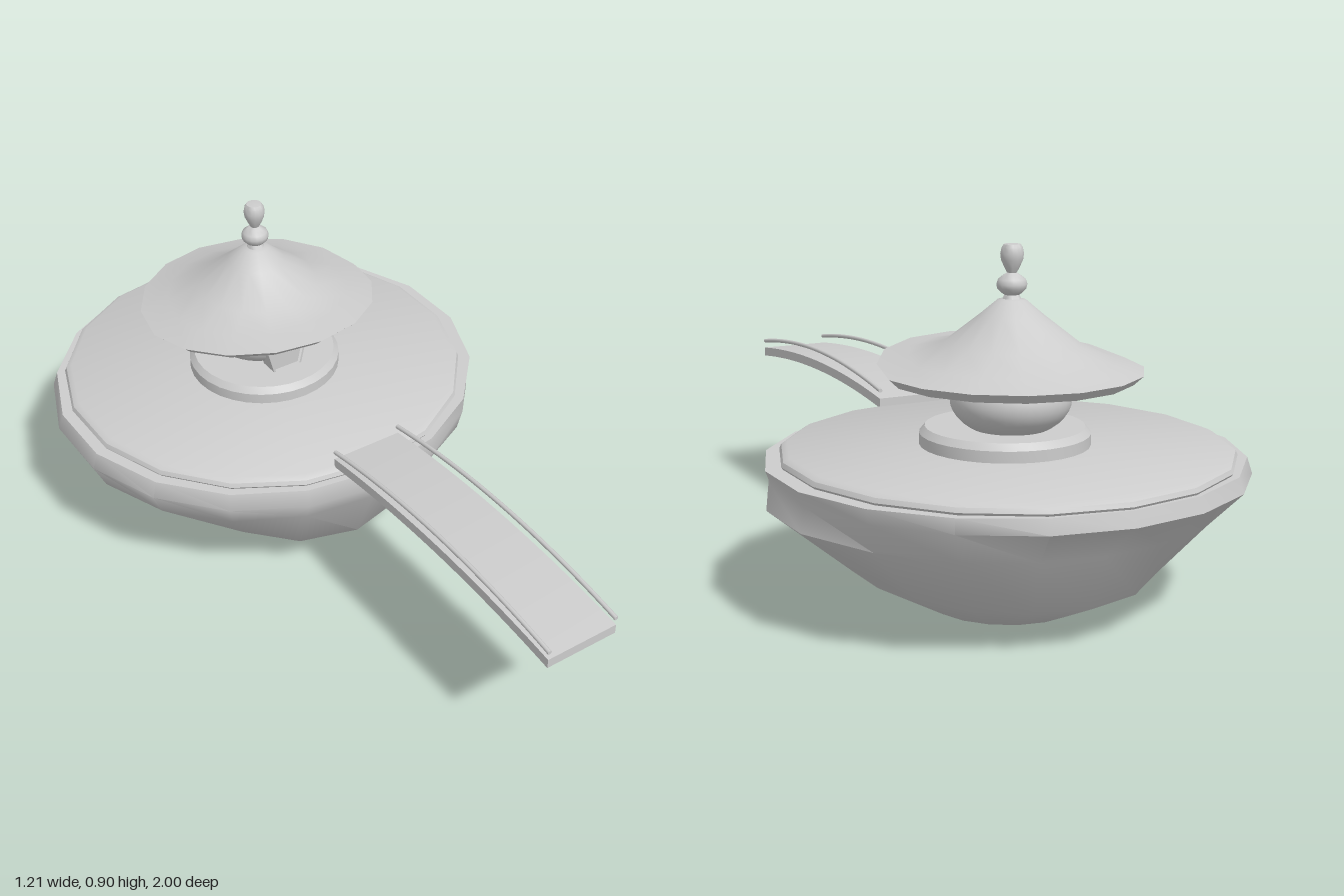
import * as THREE from 'three';
import { toCreasedNormals } from 'three/addons/utils/BufferGeometryUtils.js';

const material = new THREE.MeshStandardMaterial({ color: 0xcccccc });

function addMesh(parent, name, geometry, x = 0, y = 0, z = 0) {
  const mesh = new THREE.Mesh(geometry, material);
  mesh.name = name;
  mesh.position.set(x, y, z);
  parent.add(mesh);
  return mesh;
}

// Turned shape from [radius, height] pairs, listed bottom to top
const turned = (profile, sides) =>
  new THREE.LatheGeometry(profile.map(([r, y]) => new THREE.Vector2(r, y)), sides);

// Move every vertex by a rule
function reshape(geometry, rule) {
  const p = geometry.attributes.position;
  const v = new THREE.Vector3();
  for (let i = 0; i < p.count; i++) {
    v.fromBufferAttribute(p, i);
    rule(v, i);
    p.setXYZ(i, v.x, v.y, v.z);
  }
  geometry.computeVertexNormals();
  return geometry;
}

// Irregular rock: each ring gives [radius, height] at front, left, back and right
function rockGeometry() {
  const same = (r, y) => [[r, y], [r, y], [r, y], [r, y]];
  const rings = [
    same(0, 0),
    same(0.2, 0),
    [[0.49, 0.1], [0.39, 0.105], [0.41, 0.1], [0.36, 0.135]],
    [[0.56, 0.27], [0.61, 0.28], [0.46, 0.24], [0.58, 0.26]],
    [[0.595, 0.33], [0.595, 0.34], [0.585, 0.34], [0.615, 0.335]],
    [[0.585, 0.378], [0.61, 0.378], [0.575, 0.378], [0.6, 0.378]],
    same(0, 0.378),
  ];
  const sides = 18;
  const geometry = turned(rings.map((ring) => ring[0]), sides);
  reshape(geometry, (v, i) => {
    const ring = rings[i % rings.length];
    const a = (Math.floor(i / rings.length) / sides) * Math.PI * 2;
    const s = Math.sin(a), c = Math.cos(a);
    const along = ring[c >= 0 ? 0 : 2], across = ring[s >= 0 ? 1 : 3];
    const mix = (k) => c * c * along[k] + s * s * across[k];
    v.set(s * mix(0), mix(1), c * mix(0));
  });
  return toCreasedNormals(geometry, 0.85);
}

// Pavilion roof: swept cone with the eave raised toward the front
function roofGeometry() {
  const geometry = turned([
    [0, 0.587], [0.305, 0.574], [0.33, 0.597], [0.255, 0.62], [0.17, 0.66],
    [0.08, 0.73], [0.035, 0.768], [0, 0.775],
  ], 16);
  reshape(geometry, (v) => {
    const r = Math.hypot(v.x, v.z);
    if (r > 0.2) v.y += 0.042 * Math.max(0, v.z / r) * Math.min(1, (r - 0.17) / 0.13);
  });
  return toCreasedNormals(geometry, 0.7);
}

// Doorway outline, widest at the shoulders
function doorOutline(scale, Type) {
  const pts = [[-0.045, 0], [-0.06, 0.06], [-0.055, 0.08], [-0.036, 0.1],
    [0.036, 0.1], [0.055, 0.08], [0.06, 0.06], [0.045, 0]];
  return new Type(pts.map(([x, y]) => new THREE.Vector2(x * scale, y * scale)));
}

export function createModel() {
  const model = new THREE.Group();
  model.name = 'islandPavilion';

  // Island
  const island = new THREE.Group();
  island.name = 'island';
  island.position.z = -0.41;
  model.add(island);
  addMesh(island, 'rock', rockGeometry());
  addMesh(island, 'groundDisc', toCreasedNormals(turned([
    [0, 0.37], [0.56, 0.37], [0.57, 0.384], [0.565, 0.395], [0.55, 0.404], [0, 0.404],
  ], 18), 0.6));

  // Pavilion
  const pavilion = new THREE.Group();
  pavilion.name = 'pavilion';
  pavilion.position.z = -0.428;
  model.add(pavilion);
  addMesh(pavilion, 'terrace', toCreasedNormals(turned([
    [0, 0.4], [0.214, 0.4], [0.214, 0.433], [0.2, 0.45], [0, 0.45],
  ], 32), 0.5), 0, 0, 0.028);
  addMesh(pavilion, 'roundBody', new THREE.SphereGeometry(0.151, 32, 20), 0, 0.523, 0)
    .scale.y = 0.63;
  addMesh(pavilion, 'roof', roofGeometry());

  // Doorway
  const frame = doorOutline(1, THREE.Shape);
  frame.holes.push(doorOutline(0.87, THREE.Path));
  addMesh(pavilion, 'doorFrame',
    new THREE.ExtrudeGeometry(frame, { depth: 0.055, bevelEnabled: false }), 0, 0.45, 0.1);
  addMesh(pavilion, 'door',
    new THREE.ExtrudeGeometry(doorOutline(0.88, THREE.Shape), { depth: 0.045, bevelEnabled: false }),
    0, 0.45, 0.1);

  // Finial
  addMesh(pavilion, 'finial', toCreasedNormals(turned([
    [0.026, 0.765], [0.018, 0.78], [0.026, 0.785], [0.036, 0.796], [0.038, 0.806],
    [0.034, 0.818], [0.02, 0.829], [0.012, 0.834], [0.018, 0.845], [0.027, 0.865],
    [0.029, 0.88], [0.026, 0.895], [0.021, 0.903], [0, 0.905],
  ], 16), 0.8));

  // Arched bridge
  const bridge = new THREE.Group();
  bridge.name = 'bridge';
  bridge.position.z = 0.56;
  model.add(bridge);
  const deck = reshape(new THREE.BoxGeometry(0.205, 0.026, 0.88, 1, 1, 20), (v) => {
    v.y += 0.03 * (1 - (v.z / 0.44) ** 2);
  });
  addMesh(bridge, 'deck', toCreasedNormals(deck, 0.5), 0, 0.413, 0);
  for (const side of [-1, 1]) {
    const path = new THREE.QuadraticBezierCurve3(
      new THREE.Vector3(0, 0.448, -0.44),
      new THREE.Vector3(0, 0.528, 0),
      new THREE.Vector3(0, 0.448, 0.44));
    const rail = new THREE.Group();
    rail.name = side > 0 ? 'leftRail' : 'rightRail';
    rail.position.x = side * 0.1;
    bridge.add(rail);
    addMesh(rail, 'handrail', new THREE.TubeGeometry(path, 20, 0.006, 8));
    // Rail end caps
    for (const end of [-1, 1]) {
      const cap = addMesh(rail, 'railEnd', new THREE.CircleGeometry(0.006, 8), 0, 0.448, end * 0.44);
      if (end < 0) cap.rotation.y = Math.PI;
    }
  }
  return model;
}
